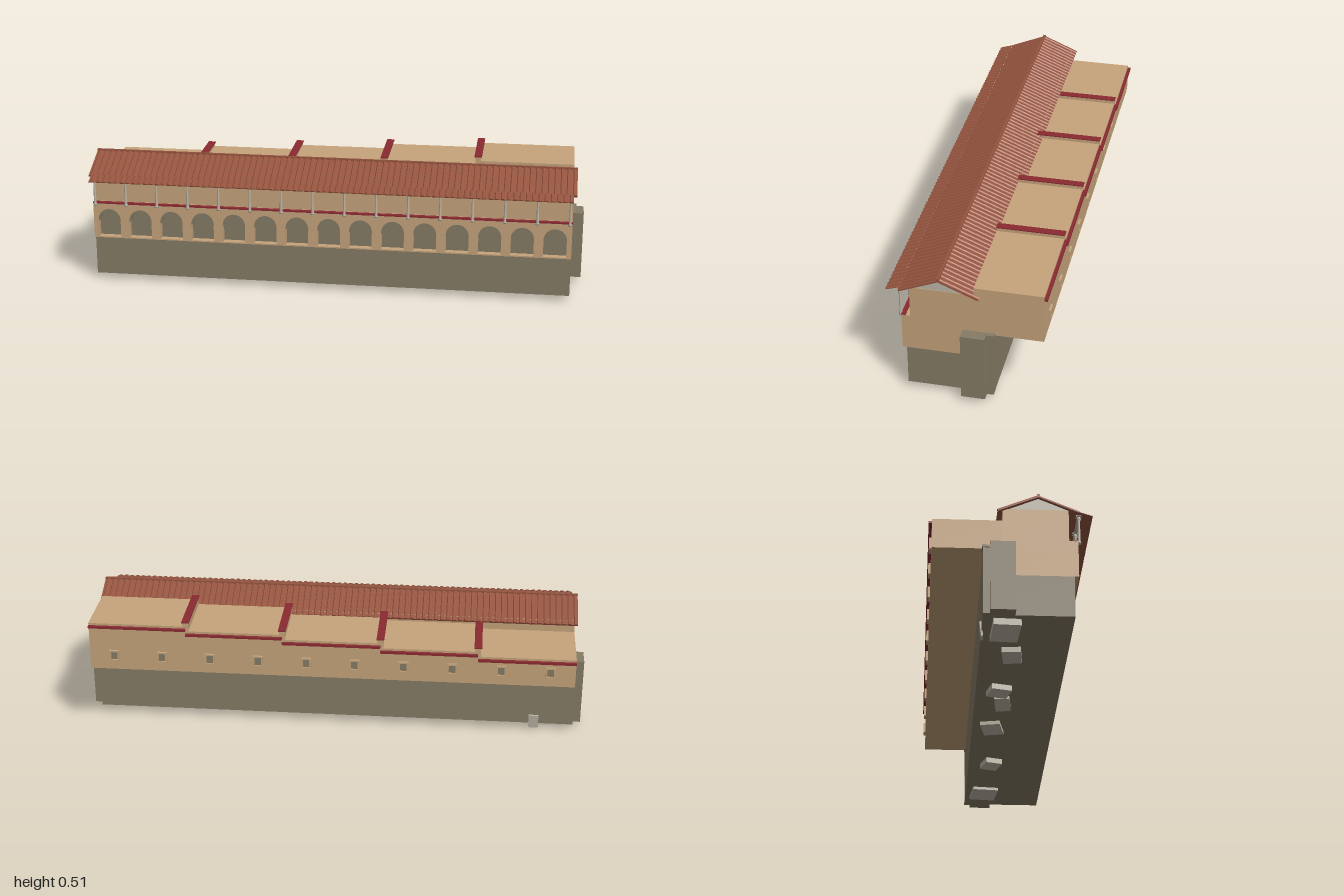
import * as THREE from 'three';

const mat = (name, color, extra = {}) => {
  const m = new THREE.MeshStandardMaterial({ color, ...extra });
  m.name = name;
  return m;
};

export function createModel() {
  const plaster = mat('plaster', 0xc6a47b);
  const stone = mat('stone', 0x867b66);
  const paleStone = mat('paleStone', 0xbdb7a7);
  const tile = mat('roofTile', 0x96543f);
  const redTrim = mat('redTrim', 0x8a2a32);

  const root = new THREE.Group();
  root.name = 'arcadedHall';
  const add = (name, geo, material, parent = root) => {
    const m = new THREE.Mesh(geo, material);
    m.name = name;
    parent.add(m);
    return m;
  };
  // Box given by its minimum and maximum on each axis
  const box = (name, material, x0, x1, y0, y1, z0, z1, parent = root) => {
    const m = add(name, new THREE.BoxGeometry(x1 - x0, y1 - y0, z1 - z0), material, parent);
    m.position.set((x0 + x1) / 2, (y0 + y1) / 2, (z0 + z1) / 2);
    return m;
  };
  const W = 0.955;

  // Stone base, back wall and end buttresses
  box('stoneBase', stone, -W, W, 0.025, 0.185, -0.1, 0.227);
  box('backWall', stone, -W, W, 0.185, 0.291, -0.1, 0.015);
  for (const s of [-1, 1]) {
    const side = (name, a, b, ...r) => box(name, stone, Math.min(s * a, s * b), Math.max(s * a, s * b), ...r);
    side('buttress', 0.95, 1, 0.025, 0.298, -0.075, 0.015);
    side('cornerPier', 0.93, 0.968, 0.025, 0.29, -0.101, -0.075);
    side('cornerPierCap', 0.93, 0.972, 0.288, 0.298, -0.105, -0.075);
  }

  // Plaster storeys
  box('lowerStorey', plaster, -W, W, 0.185, 0.33, 0.015, 0.212);
  box('upperStorey', plaster, -W, W, 0.29, 0.456, -0.03, 0.21);

  // Front arcade: wall with arched openings, stone niches and arch rings
  const bays = 15, pitch = 0.1272, r = 0.045, spring = 0.262, sill = 0.19;
  const wall = new THREE.Shape([[-W, 0.185], [W, 0.185], [W, 0.33], [-W, 0.33]].map(p => new THREE.Vector2(...p)));
  const ring = new THREE.Shape();
  ring.absarc(0, 0, r, 0, Math.PI, false);
  ring.absarc(0, 0, r - 0.009, Math.PI, 0, true);
  const ringGeo = new THREE.ExtrudeGeometry(ring, { depth: 0.018, bevelEnabled: false, curveSegments: 10 });
  const arches = new THREE.Group();
  arches.name = 'archNiches';
  root.add(arches);
  for (let i = 0; i < bays; i++) {
    const x = (i - (bays - 1) / 2) * pitch;
    const hole = new THREE.Path();
    hole.moveTo(x - r, sill);
    hole.lineTo(x + r, sill);
    hole.lineTo(x + r, spring);
    hole.absarc(x, spring, r, 0, Math.PI, false);
    hole.lineTo(x - r, sill);
    wall.holes.push(hole);
    box('nichePanel', stone, x - r, x + r, sill, spring + r, 0.211, 0.216, arches);
    add('archRing', ringGeo, stone, arches).position.set(x, spring, 0.226);
    for (const s of [-1, 1]) box('impost', stone, x + s * 0.041 - 0.005, x + s * 0.041 + 0.005, 0.258, 0.263, 0.226, 0.245, arches);
  }
  add('arcadeWall', new THREE.ExtrudeGeometry(wall, { depth: 0.031, bevelEnabled: false, curveSegments: 10 }), plaster)
    .position.z = 0.212;

  // Open gallery: rail, columns and top beam
  box('galleryRail', redTrim, -W, W, 0.329, 0.335, 0.227, 0.2435);
  box('galleryBeam', paleStone, -W, W, 0.434, 0.437, 0.241, 0.252);
  const profile = [[0, 0.324], [0.008, 0.324], [0.008, 0.329], [0.0055, 0.333], [0.0042, 0.418], [0.0075, 0.422], [0.0075, 0.43], [0.005, 0.434], [0, 0.434]];
  const columnGeo = new THREE.LatheGeometry(profile.map(p => new THREE.Vector2(...p)), 10);
  for (let i = 0; i < 16; i++) {
    const x = (i - 7.5) * 0.126;
    add('galleryColumn', columnGeo, paleStone).position.set(x, 0, 0.247);
    box('columnCap', paleStone, x - 0.01, x + 0.01, 0.434, 0.4375, 0.236, 0.257);
  }

  // Gable infill, running the full length
  const gable = new THREE.Shape([[-0.21, 0.456], [0.01, 0.456], [-0.1, 0.503]].map(p => new THREE.Vector2(...p)));
  const gableMesh = add('gable', new THREE.ExtrudeGeometry(gable, { depth: 2 * W - 0.004, bevelEnabled: false }), paleStone);
  gableMesh.rotation.y = Math.PI / 2;
  gableMesh.position.x = -W + 0.002;

  // Rolled tile sheet, running from z = 0 to its length
  const tiles = (halfWidth, length, thick, rolls = 80) => {
    const s = new THREE.Shape();
    const step = 2 * halfWidth / rolls;
    s.moveTo(-halfWidth, -thick);
    for (let i = 0; i < rolls; i++) {
      const x = -halfWidth + i * step;
      s.lineTo(x, 0);
      s.lineTo(x + step * 0.3, 0);
      s.lineTo(x + step * 0.45, 0.0035);
      s.lineTo(x + step * 0.85, 0.0035);
    }
    s.lineTo(halfWidth, 0);
    s.lineTo(halfWidth, -thick);
    return new THREE.ExtrudeGeometry(s, { depth: length, bevelEnabled: false });
  };
  const slopeGeo = tiles(0.967, 0.161, 0.006);
  for (const back of [false, true]) {
    const half = new THREE.Group();
    half.name = back ? 'backRoof' : 'frontRoof';
    half.position.set(0, 0.509, 0.1);
    half.rotation.y = back ? Math.PI : 0;
    add('roofSlope', slopeGeo, tile, half).rotation.x = 0.395;
    root.add(half);
  }
  box('roofRidge', tile, -0.967, 0.967, 0.504, 0.515, 0.095, 0.105);
  const canopy = add('eavesCanopy', tiles(W, 0.05, 0.002), tile);
  canopy.position.set(0, 0.4515, 0.25);
  canopy.rotation.x = 0.31;

  // Rear wing: five flat roofs stepping up towards +x, with capped dividers
  const edges = [-W, -0.575, -0.195, 0.19, 0.57, W];
  for (let i = 0; i < 5; i++) {
    const y = 0.407 + 0.02 * i;
    box('rearRoom', plaster, edges[i], edges[i + 1], 0.29, y, -0.285, -0.028);
    box('rearCornice', redTrim, edges[i], edges[i + 1], y - 0.018, y - 0.009, -0.297, -0.284);
    if (i > 0) {
      box('roofDivider', plaster, edges[i] - 0.011, edges[i] + 0.011, 0.38, y + 0.015, -0.285, -0.028);
      box('dividerCap', redTrim, edges[i] - 0.015, edges[i] + 0.015, y + 0.015, y + 0.019, -0.288, -0.027);
    }
  }

  // Small framed windows in the rear wall
  for (let i = 0; i < 10; i++) {
    const x = (i - 4.5) * 0.1905;
    for (const s of [-1, 1]) {
      box('windowJamb', plaster, x + s * 0.0165 - 0.0035, x + s * 0.0165 + 0.0035, 0.328, 0.373, -0.294, -0.284);
      box('windowLintel', plaster, x - 0.02, x + 0.02, 0.3505 + s * 0.0195 - 0.003, 0.3505 + s * 0.0195 + 0.003, -0.294, -0.284);
    }
    box('windowPane', stone, x - 0.014, x + 0.014, 0.332, 0.37, -0.288, -0.284);
  }

  // Footing stones under the base: x, z, width, depth, underside height, turn
  const rocks = [
    [0.8, -0.02, 0.13, 0.11, 0.013, 0.1], [0.43, -0.005, 0.085, 0.07, 0.003, 0.3], [0.045, -0.02, 0.11, 0.08, 0.01, -0.2],
    [-0.2, 0.01, 0.12, 0.06, 0.012, -0.1], [-0.33, -0.01, 0.08, 0.08, 0.003, 0.25], [-0.65, 0.02, 0.1, 0.07, 0.004, -0.1],
    [-0.86, -0.015, 0.14, 0.1, 0, 0.05],
  ];
  for (const [x, z, w, d, y, turn] of rocks) {
    const rock = box('footingStone', paleStone, x - w / 2, x + w / 2, y, 0.03, z - d / 2, z + d / 2);
    rock.rotation.y = turn;
  }
  const chip = box('leaningStone', paleStone, -0.83, -0.79, 0.004, 0.062, -0.104, -0.097);
  chip.rotation.x = -0.12;

  return root;
}
